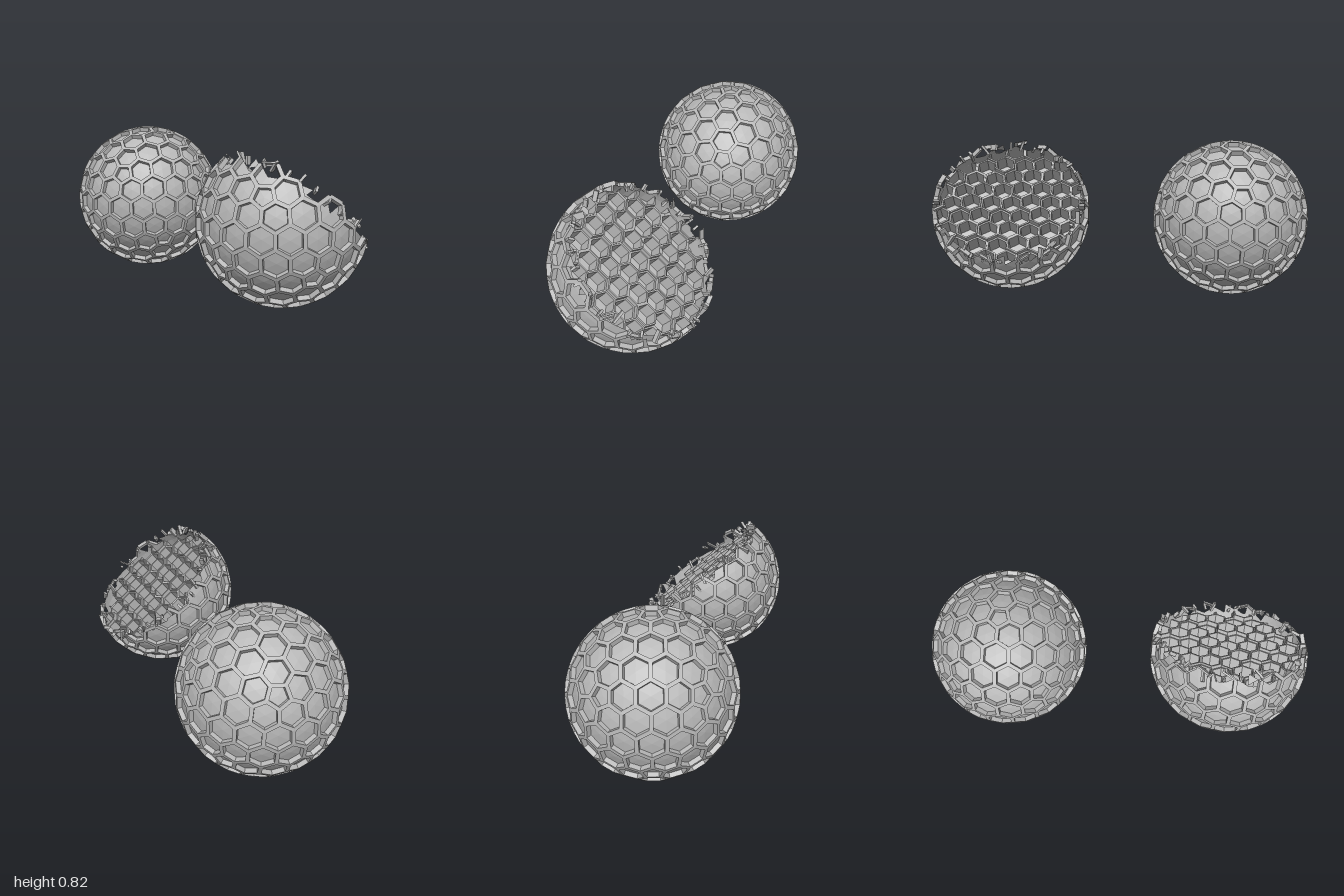
import * as THREE from 'three';

const R = 0.415;          // outer radius of the lattice
const PANEL_R = 0.392;    // radius of the sunken panels
const HALF = 0.0095;      // half the strut width
const V = (x, y, z) => new THREE.Vector3(x, y, z);

let seed = 7;
function rand() {
  seed = (seed * 16807) % 2147483647;
  return seed / 2147483647;
}

const tri = (out, a, b, c) => { for (const p of [a, b, c]) out.push(p.x, p.y, p.z); };
const quad = (out, a, b, c, d) => { tri(out, a, b, c); tri(out, a, c, d); };

// Hexagon and pentagon cells: the dual of a subdivided icosahedron with a corner straight up
function sphereCells() {
  const geo = new THREE.IcosahedronGeometry(1, 3);
  geo.rotateZ(-Math.atan(2 / (1 + Math.sqrt(5))));
  const pos = geo.attributes.position;
  const cells = new Map();
  for (let i = 0; i < pos.count; i += 3) {
    const t = [0, 1, 2].map(k => V().fromBufferAttribute(pos, i + k));
    const corner = V().add(t[0]).add(t[1]).add(t[2]).normalize();
    for (const p of t) {
      const key = [p.x, p.y, p.z].map(n => Math.round(n * 1000)).join();
      if (!cells.has(key)) cells.set(key, { centre: p.clone().normalize(), corners: [] });
      cells.get(key).corners.push(corner);
    }
  }
  for (const { centre, corners } of cells.values()) {
    const u = corners[0].clone().cross(centre).normalize();
    const w = centre.clone().cross(u);
    corners.sort((a, b) => Math.atan2(a.dot(w), a.dot(u)) - Math.atan2(b.dot(w), b.dot(u)));
  }
  return [...cells.values()];
}

function meshFrom(points, material, name) {
  const geo = new THREE.BufferGeometry();
  geo.setAttribute('position', new THREE.Float32BufferAttribute(points, 3));
  geo.computeVertexNormals();
  const mesh = new THREE.Mesh(geo, material);
  mesh.name = name;
  return mesh;
}

// Shell of raised struts and sunken panels; the keep functions decide which sectors survive
function buildShell(material, keepStrut, keepPanel) {
  const struts = [], panels = [];
  for (const { centre, corners } of sphereCells()) {
    const inset = corners.map(c =>
      c.clone().lerp(centre, HALF * 1.15 / (R * c.distanceTo(centre))).normalize());
    const n = corners.length;
    const mid = centre.clone().multiplyScalar(PANEL_R);
    for (let i = 0; i < n; i++) {
      const j = (i + 1) % n;
      const at = (p, r) => p.clone().multiplyScalar(r);
      const edge = corners[i].clone().add(corners[j]).multiplyScalar(R / 2);
      if (keepStrut(edge)) {
        const a = at(corners[i], R), b = at(corners[j], R);
        const c = at(inset[j], R), d = at(inset[i], R);
        const c2 = at(inset[j], PANEL_R), d2 = at(inset[i], PANEL_R);
        const a2 = at(corners[i], PANEL_R), b2 = at(corners[j], PANEL_R);
        quad(struts, a, b, c, d);
        quad(struts, d, c, c2, d2);
        quad(struts, d2, c2, b2, a2);
      }
      if (keepPanel(edge.clone().lerp(mid, 0.5)))
        tri(panels, at(inset[i], PANEL_R), at(inset[j], PANEL_R), mid);
    }
  }
  const group = new THREE.Group();
  group.add(meshFrom(struts, material, 'latticeStruts'), meshFrom(panels, material, 'sunkenPanels'));
  return group;
}

// Honeycomb core in a frame whose y axis is the normal of the break
function buildHoneycomb(material) {
  const out = [];
  const pitch = 0.104, side = pitch / Math.sqrt(3);
  const clampIn = p => (p.length() > 0.388 ? p.setLength(0.388) : p);
  for (let row = -4; row <= 4; row++) {
    for (let col = -4; col <= 4; col++) {
      const cx = row * pitch * 0.866;
      const cz = (col + (row & 1 ? 0.5 : 0)) * pitch;
      if (Math.hypot(cx, cz) > 0.395) continue;
      const top = 0.055 + (rand() - 0.5) * 0.035;
      const ring = (r, y) => Array.from({ length: 6 }, (_, k) => {
        const a = k * Math.PI / 3;
        return clampIn(V(cx + r * Math.cos(a), y, cz + r * Math.sin(a)));
      });
      const outer = ring(side, top), inner = ring(side - 0.009, top);
      const floor = ring(side - 0.009, top - 0.075), foot = ring(side, top - 0.075);
      const mid = clampIn(V(cx, top - 0.085, cz));
      for (let i = 0; i < 6; i++) {
        const j = (i + 1) % 6;
        quad(out, outer[j], outer[i], inner[i], inner[j]);
        quad(out, inner[j], inner[i], floor[i], floor[j]);
        quad(out, outer[i], outer[j], foot[j], foot[i]);
        tri(out, floor[j], floor[i], mid);
      }
    }
  }
  return meshFrom(out, material, 'honeycombCore');
}

// Bent splinters standing around the broken rim
function buildSplinters(material) {
  const group = new THREE.Group();
  group.name = 'rimSplinters';
  for (let i = 0; i < 34; i++) {
    const a = (i + rand() * 0.7) / 34 * Math.PI * 2;
    const y = 0.07 + rand() * 0.045;
    const r = Math.sqrt(0.4 * 0.4 - y * y) - rand() * 0.02;
    const splinter = new THREE.Mesh(
      new THREE.BoxGeometry(0.014 + rand() * 0.02, 0.03 + rand() * 0.04, 0.012), material);
    splinter.name = 'splinter';
    splinter.position.set(r * Math.cos(a), y, r * Math.sin(a));
    splinter.rotation.set((rand() - 0.5) * 1.6, -a, (rand() - 0.5) * 1.6);
    group.add(splinter);
  }
  return group;
}

export function createModel() {
  seed = 7;
  const grey = new THREE.MeshStandardMaterial({ color: 0xb8b8b8 });
  grey.name = 'plain grey';
  grey.side = THREE.DoubleSide;
  grey.flatShading = true;

  // Whole ball at the back
  const whole = buildShell(grey, () => true, () => true);
  whole.name = 'wholeBall';
  whole.position.set(0, R, -0.585);

  // Broken ball at the front, open towards the upper +x side
  const normal = V(0.63, 0.776, 0).normalize();
  const below = (limit, jitter) => p => p.dot(normal) < limit + (rand() - 0.5) * jitter;
  const broken = buildShell(grey, below(0.095, 0.05), below(0.075, 0.05));
  broken.name = 'brokenBall';
  broken.position.set(0.03, 0.467, 0.585);

  const inside = new THREE.Group();
  inside.name = 'breakSurface';
  inside.quaternion.setFromUnitVectors(V(0, 1, 0), normal);
  inside.add(buildHoneycomb(grey), buildSplinters(grey));
  broken.add(inside);

  const model = new THREE.Group();
  model.name = 'honeycombBalls';
  model.add(whole, broken);
  return model;
}
